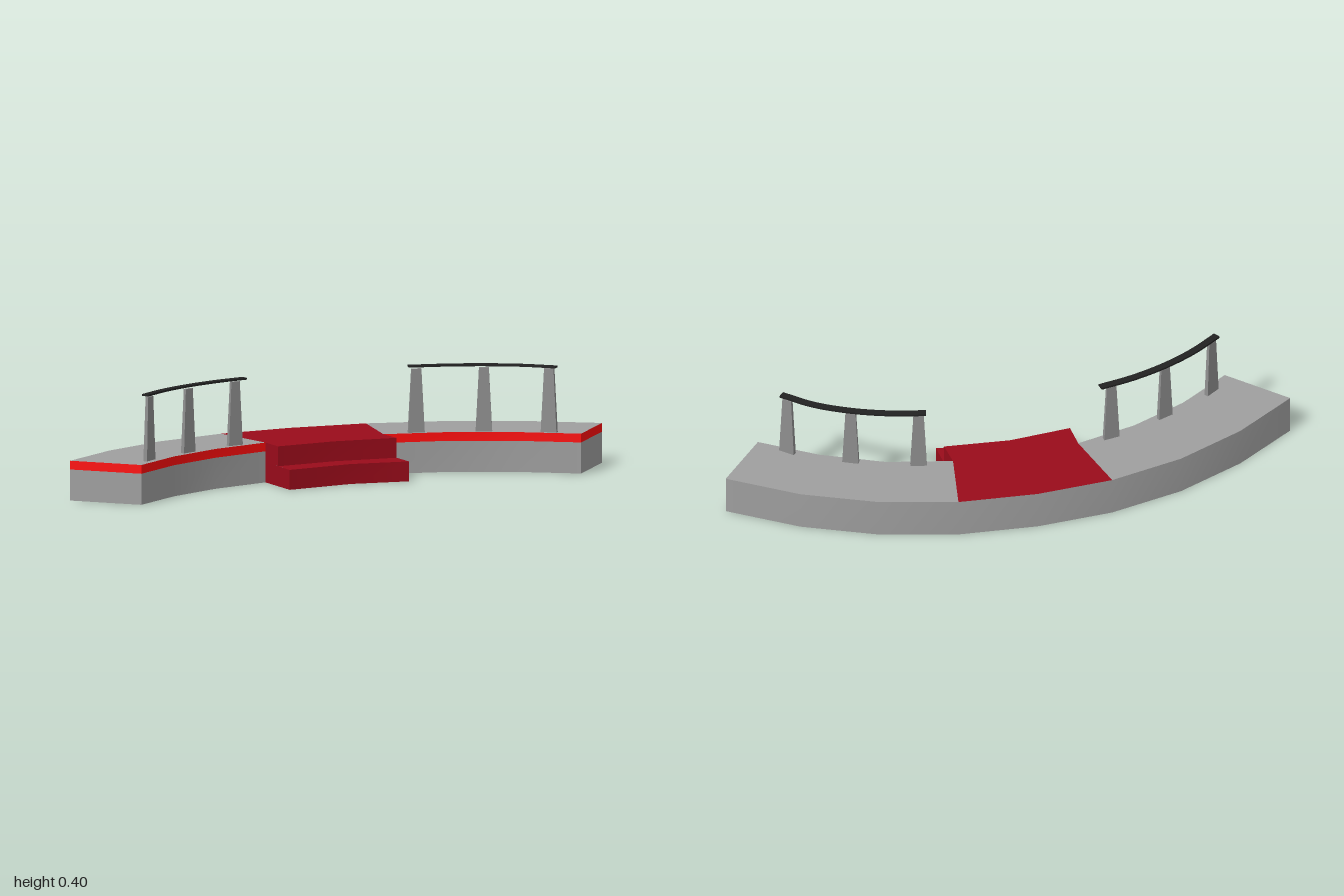
import * as THREE from 'three';

const H = 0.15, BAND = 0.117, STEP = 0.075;

// Plan points [x, z], from the back end to the front end
const outer = [[0.38, -1], [0.14, -0.83], [-0.07, -0.62], [-0.24, -0.38], [-0.37, -0.11],
  [-0.46, 0.165], [-0.5, 0.45], [-0.487, 0.73], [-0.428, 1]];
const inner = [[0.497, -0.77], [0.3, -0.63], [0.12, -0.455], [-0.02, -0.248], [-0.125, -0.03],
  [-0.2, 0.195], [-0.23, 0.43], [-0.22, 0.66], [-0.17, 0.885]];
const upperEdge = [[0.073, -0.223], [-0.038, 0], [-0.105, 0.225]];
const lowerEdge = [[0.164, -0.195], [0.052, 0], [-0.016, 0.254]];

const reversed = (pts) => [...pts].reverse();

const paint = (color) => new THREE.MeshStandardMaterial({ color, side: THREE.DoubleSide });
const grey = paint(0x9f9f9f), postGrey = paint(0x8e8e8e);
const carpet = paint(0x9a0b1a), trim = paint(0xff0c0c), dark = paint(0x222222);

function add(parent, name, geometry, material) {
  const mesh = new THREE.Mesh(geometry, material);
  mesh.name = name;
  parent.add(mesh);
  return mesh;
}

// Upright strip along plan points; the outside lies to the right of travel
function wall(pts, y0, y1) {
  const pos = [], index = [];
  pts.forEach(([x, z], i) => {
    pos.push(x, y0, z, x, y1, z);
    if (i) {
      const a = 2 * i - 2;
      index.push(a, a + 2, a + 3, a, a + 3, a + 1);
    }
  });
  const g = new THREE.BufferGeometry();
  g.setAttribute('position', new THREE.Float32BufferAttribute(pos, 3));
  g.setIndex(index);
  g.computeVertexNormals();
  return g;
}

const planShape = (pts, sign = -1) =>
  new THREE.Shape(pts.map(([x, z]) => new THREE.Vector2(x, sign * z)));

// Horizontal face at height y, looking up
const floor = (pts, y) => new THREE.ShapeGeometry(planShape(pts)).rotateX(-Math.PI / 2).translate(0, y, 0);

// Tapered post, its broad side along the rail
function postGeometry() {
  const height = 0.24;
  const g = new THREE.BoxGeometry(0.062, height, 0.016);
  const p = g.attributes.position;
  for (let i = 0; i < p.count; i++) {
    if (p.getY(i) > 0) p.setXYZ(i, p.getX(i) * 0.6, p.getY(i), p.getZ(i) * 0.7);
  }
  g.computeVertexNormals();
  return g.translate(0, H + height / 2, 0);
}

// Flat curved handrail with three posts
function railing(name, railPts, posts) {
  const group = new THREE.Group();
  group.name = name;
  const curve = new THREE.CatmullRomCurve3(railPts.map(([x, z]) => new THREE.Vector3(x, 0, z)));
  const sideA = [], sideB = [], n = 16, half = 0.014;
  for (let i = 0; i <= n; i++) {
    const p = curve.getPoint(i / n), t = curve.getTangent(i / n);
    sideA.push([p.x - t.z * half, p.z + t.x * half]);
    sideB.push([p.x + t.z * half, p.z - t.x * half]);
  }
  const rail = new THREE.ExtrudeGeometry(planShape([...sideA, ...reversed(sideB)]),
    { depth: 0.007, bevelEnabled: false });
  add(group, 'handrail', rail.rotateX(-Math.PI / 2).translate(0, 0.394, 0), dark);
  posts.forEach(([x, z], i) => {
    const t = curve.getTangent([0.1, 0.5, 0.9][i]);
    const post = add(group, 'post', postGeometry(), postGrey);
    post.position.set(x, 0, z);
    post.rotation.y = Math.atan2(-t.z, t.x);
  });
  return group;
}

export function createModel() {
  const model = new THREE.Group();
  model.name = 'curvedPlatform';

  // Curved grey body with a bright trim along the inner side and both ends
  add(model, 'outerWall', wall(outer, 0, H), grey);
  const faces = {
    frontEnd: [outer[8], inner[8]],
    frontInner: reversed(inner.slice(5)),
    backInner: reversed(inner.slice(0, 4)),
    backEnd: [inner[0], outer[0]],
  };
  for (const [name, pts] of Object.entries(faces)) {
    add(model, name + 'Wall', wall(pts, 0, BAND), grey);
    add(model, name + 'Trim', wall(pts, BAND, H), trim);
  }

  // Deck: grey wings and a red middle reaching to the upper step
  add(model, 'backDeck', floor([...outer.slice(0, 4), ...reversed(inner.slice(0, 4))], H), grey);
  add(model, 'frontDeck', floor([...outer.slice(5), ...reversed(inner.slice(5))], H), grey);
  add(model, 'middleDeck', floor([...outer.slice(3, 6), inner[5], ...reversed(upperEdge), inner[3]], H), carpet);

  // Two steps
  const steps = new THREE.Group();
  steps.name = 'steps';
  model.add(steps);
  for (const [name, edge, y0, y1] of [['upper', upperEdge, STEP, H], ['lower', lowerEdge, 0, STEP]]) {
    add(steps, name + 'Riser', wall(reversed(edge), y0, y1), carpet);
    add(steps, name + 'FrontCheek', wall([inner[5], edge[2]], y0, y1), carpet);
    add(steps, name + 'BackCheek', wall([edge[0], inner[3]], y0, y1), carpet);
  }
  add(steps, 'lowerTread', floor([...upperEdge, ...reversed(lowerEdge)], STEP), carpet);

  // Underside
  const footprint = [...outer, ...reversed(inner.slice(5)), ...reversed(lowerEdge), ...reversed(inner.slice(0, 4))];
  add(model, 'underside', new THREE.ShapeGeometry(planShape(footprint, 1)).rotateX(Math.PI / 2), grey);

  // Railings on the inner edge of each wing
  model.add(railing('backRailing',
    [[0.01, -0.35], [0.09, -0.465], [0.185, -0.57], [0.295, -0.66], [0.415, -0.722]],
    [[0.036, -0.365], [0.197, -0.56], [0.385, -0.715]]));
  model.add(railing('frontRailing',
    [[-0.233, 0.272], [-0.256, 0.4], [-0.264, 0.54], [-0.253, 0.68], [-0.224, 0.81]],
    [[-0.24, 0.317], [-0.249, 0.555], [-0.226, 0.785]]));

  return model;
}
